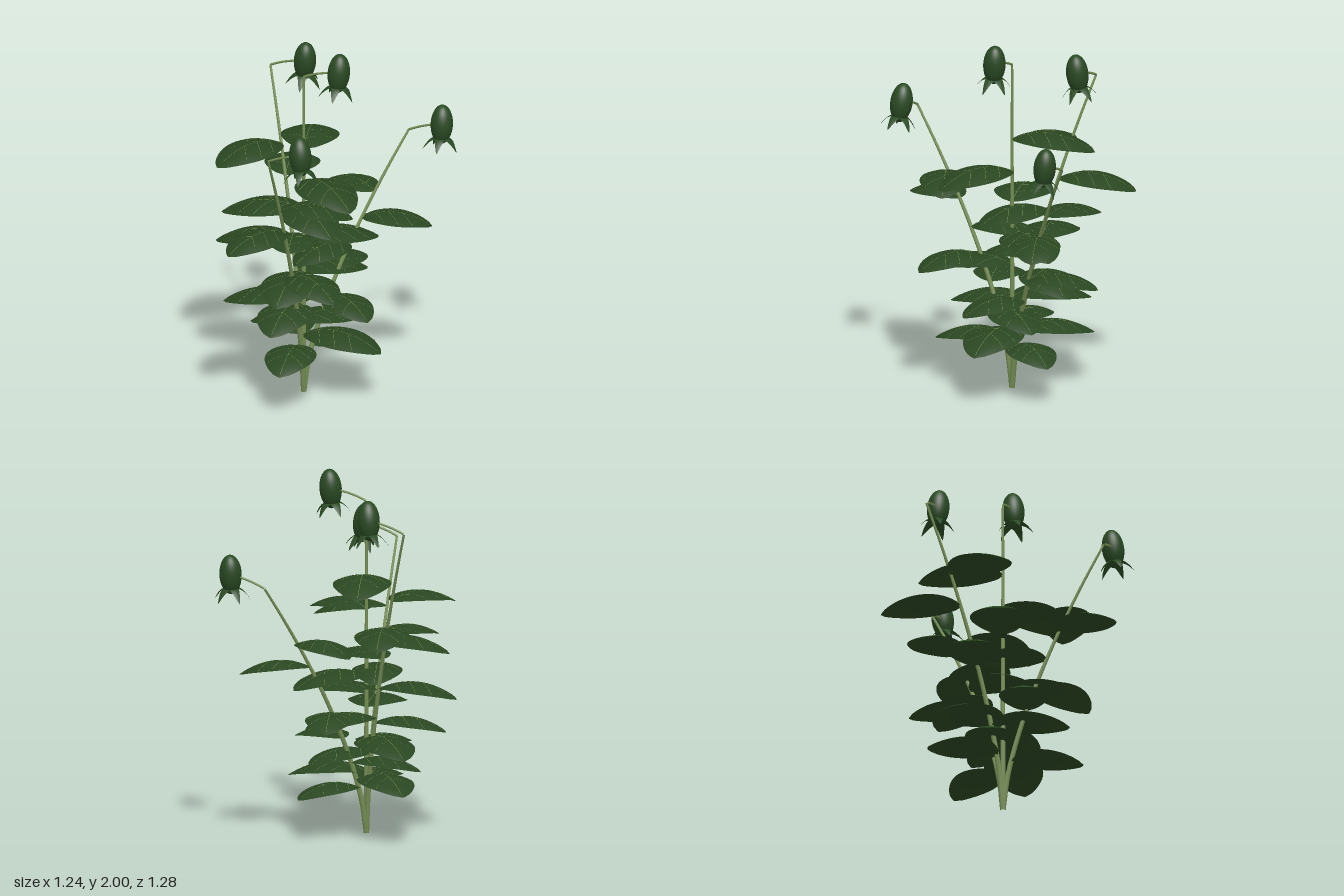
import * as THREE from 'three';
import { mergeGeometries } from 'three/addons/utils/BufferGeometryUtils.js';

const mat = (name, color, side = THREE.FrontSide) => {
  const m = new THREE.MeshStandardMaterial({ color, side });
  m.name = name;
  return m;
};
const leafGreen = mat('leaf green', 0x2a4621, THREE.DoubleSide);
const budGreen = mat('bud green', 0x294822, THREE.DoubleSide);
const stemGreen = mat('stem green', 0x758e54);
const veinGreen = mat('vein green', 0x788e52);

const RAD = Math.PI / 180;
const BASE = new THREE.Vector3(-0.075, 0, -0.035);

// top: end of the stem, bud: bud centre, tilt: bud lean about x and z,
// turn: heading of the highest leaf, leaf: leaf length
const STEMS = [
  { top: [-0.43, 1.73, -0.365], bud: [-0.22, 1.79, -0.36], tilt: [0.07, -0.09], turn: 118, leaf: 0.435 },
  { top: [-0.075, 1.835, -0.035], bud: [0.135, 1.89, -0.037], tilt: [-0.08, -0.06], turn: -106, leaf: 0.46 },
  { top: [-0.027, 1.545, 0.523], bud: [0.165, 1.605, 0.52], tilt: [-0.1, 0.12], turn: -23, leaf: 0.4 },
  { top: [0.315, 1.41, -0.55], bud: [0.515, 1.475, -0.548], tilt: [-0.1, 0], turn: 201, leaf: 0.385 },
];

// Reshape a plane grid: u runs -1..1 across, s runs 0..1 along
function mapGrid(nu, ns, fn) {
  const g = new THREE.PlaneGeometry(1, 1, nu, ns);
  const p = g.attributes.position;
  for (let i = 0; i < p.count; i++) p.setXYZ(i, ...fn(p.getX(i) * 2, p.getY(i) + 0.5));
  g.computeVertexNormals();
  return g;
}

// Unit-length leaf surface pointing along -z, rising then drooping, arched across
const halfWidth = (s) => 0.012 + 0.335 * Math.pow(Math.max(0, Math.sin(Math.PI * Math.pow(s, 0.94))), 0.65);
function leafPoint(u, s) {
  const y = 0.47 * s - 0.575 * s * s - 0.085 * u * u * Math.sin(Math.PI * s);
  return [u * halfWidth(s), y, -s];
}
const leafGeo = mapGrid(8, 20, leafPoint);

// Vein ribbon lying just above the leaf, from (u0, s0) to (u1, s1)
function vein(u0, s0, u1, s1, w) {
  const at = (t) => leafPoint(u0 + (u1 - u0) * t, s0 + (s1 - s0) * t);
  return mapGrid(1, 14, (side, t) => {
    const a = at(Math.max(0, t - 0.02)), b = at(Math.min(1, t + 0.02)), p = at(t);
    const dx = b[0] - a[0], dz = b[2] - a[2], k = (side * w) / Math.hypot(dx, dz);
    return [p[0] - dz * k, p[1] + 0.004, p[2] + dx * k];
  });
}
const veins = [vein(0, 0.03, 0, 0.96, 0.0025)];
for (const s of [0.18, 0.38, 0.58])
  for (const side of [-1, 1]) veins.push(vein(0, s, side * 0.9, s + 0.16, 0.002));
const veinGeo = mergeGeometries(veins);

// Pointed sepal that flares out of the bud and hangs down
const sepalGeo = mapGrid(4, 8, (u, s) => {
  const w = 0.031 * Math.pow(1 - s, 0.75);
  const out = 0.025 + 0.077 * Math.pow(s, 0.85);
  return [u * w, -0.072 - 0.074 * Math.pow(s, 1.6) - 0.006 * u * u * (1 - s), -out];
});
const budGeo = new THREE.SphereGeometry(1, 28, 20).scale(0.061, 0.11, 0.061);

// Stems lean further outwards as they climb
function stemPoint(top, t) {
  const k = Math.pow(t, 1.5);
  return new THREE.Vector3(
    BASE.x + (top[0] - BASE.x) * k, top[1] * t, BASE.z + (top[2] - BASE.z) * k);
}

// Tube whose radius narrows from r0 to r1
function taperedTube(curve, n, r0, r1) {
  const sides = 8;
  const g = new THREE.TubeGeometry(curve, n, 1, sides, false);
  const p = g.attributes.position, v = new THREE.Vector3();
  for (let i = 0; i < p.count; i++) {
    const t = Math.floor(i / (sides + 1)) / n;
    const c = curve.getPointAt(t);
    v.fromBufferAttribute(p, i).sub(c).multiplyScalar(r0 + (r1 - r0) * t).add(c);
    p.setXYZ(i, v.x, v.y, v.z);
  }
  return g;
}

function add(parent, name, geo, material) {
  const m = new THREE.Mesh(geo, material);
  m.name = name;
  parent.add(m);
  return m;
}

function makeBud({ bud, tilt }) {
  const g = new THREE.Group();
  g.name = 'flowerBud';
  add(g, 'budBody', budGeo, budGreen);
  for (let i = 0; i < 5; i++) add(g, 'sepal', sepalGeo, budGreen).rotation.y = i * 72 * RAD - 0.42;
  g.position.set(...bud);
  g.rotation.set(tilt[0], 0, tilt[1]);
  return g;
}

function makeLeaf(length, heading) {
  const g = new THREE.Group();
  g.name = 'leaf';
  add(g, 'leafBlade', leafGeo, leafGreen);
  add(g, 'leafVeins', veinGeo, veinGreen);
  g.scale.setScalar(length);
  g.rotation.y = -heading - Math.PI / 2;
  return g;
}

export function createModel() {
  const model = new THREE.Group();
  model.name = 'buddingPlant';
  for (const stem of STEMS) {
    const branch = new THREE.Group();
    branch.name = 'branch';
    model.add(branch);

    // Stem and the arched neck that carries the bud
    const pts = [];
    for (let i = 0; i <= 8; i++) pts.push(stemPoint(stem.top, i / 8));
    add(branch, 'stem', taperedTube(new THREE.CatmullRomCurve3(pts), 24, 0.016, 0.0065), stemGreen);
    const top = new THREE.Vector3(...stem.top), bud = new THREE.Vector3(...stem.bud);
    const mid = new THREE.Vector3(top.x + 0.09, top.y + 0.045, top.z);
    const neck = new THREE.QuadraticBezierCurve3(top, mid, bud);
    add(branch, 'neck', taperedTube(neck, 10, 0.0065, 0.006), stemGreen);
    branch.add(makeBud(stem));

    // Seven leaves spiralling down the stem by the golden angle
    for (let i = 0; i < 7; i++) {
      const leaf = makeLeaf(stem.leaf, (stem.turn + i * 137.5) * RAD);
      leaf.position.copy(stemPoint(stem.top, 0.77 - i * 0.0978));
      branch.add(leaf);
    }
  }
  return model;
}
